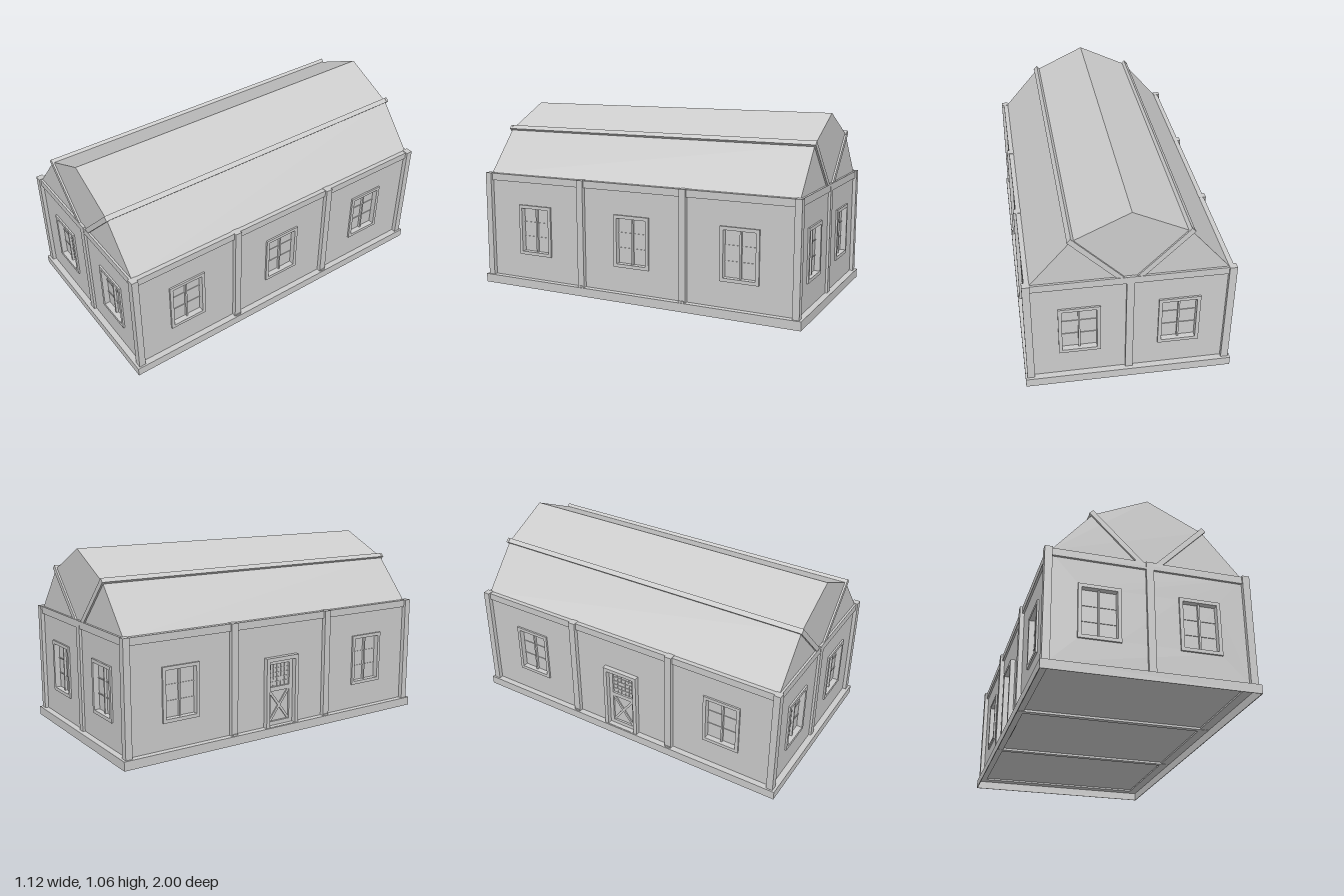
import * as THREE from 'three';

const material = new THREE.MeshStandardMaterial({ color: 0xcccccc, flatShading: true });

function add(parent, name, geometry, x = 0, y = 0, z = 0) {
  const mesh = new THREE.Mesh(geometry, material);
  mesh.name = name;
  mesh.position.set(x, y, z);
  parent.add(mesh);
  return mesh;
}

// box given by its extents
function box(parent, name, x0, x1, y0, y1, z0, z1) {
  return add(parent, name, new THREE.BoxGeometry(x1 - x0, y1 - y0, z1 - z0),
    (x0 + x1) / 2, (y0 + y1) / 2, (z0 + z1) / 2);
}

function rect(Type, x0, x1, y0, y1) {
  return new Type([[x0, y0], [x1, y0], [x1, y1], [x0, y1]].map(p => new THREE.Vector2(...p)));
}

// extruded plate with rectangular holes, spanning z0..z1
function plate(parent, name, outer, holes, z0, z1) {
  const shape = rect(THREE.Shape, ...outer);
  for (const h of holes) shape.holes.push(rect(THREE.Path, ...h));
  return add(parent, name,
    new THREE.ExtrudeGeometry(shape, { depth: z1 - z0, bevelEnabled: false }), 0, 0, z0);
}

// horizontal rectangular ring with outer half sizes hx, hz, spanning y0..y1
function ring(parent, name, hx, hz, width, y0, y1) {
  const ix = hx - width, iz = hz - width;
  const mesh = plate(parent, name, [-hx, hx, -hz, hz], [[-ix, ix, -iz, iz]], 0, y1 - y0);
  mesh.rotation.x = -Math.PI / 2;
  mesh.position.y = y0;
}

// straight bar between two points in the xy plane
function bar(parent, name, a, b, width, z0, z1) {
  const dx = b[0] - a[0], dy = b[1] - a[1];
  const mesh = add(parent, name, new THREE.BoxGeometry(Math.hypot(dx, dy), width, z1 - z0),
    (a[0] + b[0]) / 2, (a[1] + b[1]) / 2, (z0 + z1) / 2);
  mesh.rotation.z = Math.atan2(dy, dx);
}

// framed window with two casements of three panes
function makeWindow(u) {
  const g = new THREE.Group();
  g.name = 'window';
  g.position.x = u;
  plate(g, 'windowFrame', [-0.111, 0.111, 0.196, 0.495], [[-0.092, 0.092, 0.215, 0.476]], -0.025, 0.01);
  box(g, 'windowPanes', -0.1, 0.1, 0.205, 0.485, -0.03, -0.022);
  box(g, 'mullion', -0.005, 0.005, 0.215, 0.476, -0.024, -0.008);
  for (const y of [0.302, 0.389]) box(g, 'glazingBar', -0.092, 0.092, y - 0.003, y + 0.003, -0.024, -0.018);
  return g;
}

// door with a lattice light above a crossed lower panel
function makeDoor() {
  const g = new THREE.Group();
  g.name = 'door';
  plate(g, 'doorFrame', [-0.111, 0.111, 0.05, 0.45], [[-0.089, 0.089, 0.052, 0.428]], -0.025, 0.028);
  plate(g, 'doorLeaf', [-0.089, 0.089, 0.05, 0.428],
    [[-0.066, 0.066, 0.075, 0.25], [-0.066, 0.066, 0.275, 0.405]], -0.02, 0);
  box(g, 'doorPanel', -0.075, 0.075, 0.06, 0.42, -0.025, -0.012);
  bar(g, 'doorBrace', [-0.064, 0.078], [0.064, 0.247], 0.014, -0.015, -0.005);
  bar(g, 'doorBrace', [0.064, 0.078], [-0.064, 0.247], 0.014, -0.015, -0.005);
  for (let i = 1; i < 5; i++) {
    const x = -0.066 + i * 0.0264, y = 0.275 + i * 0.026;
    box(g, 'doorLatticeBar', x - 0.002, x + 0.002, 0.275, 0.405, -0.015, -0.008);
    box(g, 'doorLatticeBar', -0.066, 0.066, y - 0.002, y + 0.002, -0.015, -0.008);
  }
  return g;
}

// one wall facing +z locally, with its top beam, posts and openings
function makeWall(name, half, beamHalf, windows, posts, postOut, hasDoor) {
  const g = new THREE.Group();
  g.name = name;
  const holes = windows.map(u => [u - 0.1, u + 0.1, 0.205, 0.485]);
  if (hasDoor) holes.push([-0.1, 0.1, 0.055, 0.44]);
  plate(g, 'wallPanel', [-half, half, 0.048, 0.668], holes, -0.02, 0);
  box(g, 'topBeam', -beamHalf, beamHalf, 0.631, 0.672, -0.025, 0.012);
  for (const u of posts) box(g, 'wallPost', u - 0.02, u + 0.02, 0.05, 0.674, -0.02, postOut);
  for (const u of windows) g.add(makeWindow(u));
  if (hasDoor) g.add(makeDoor());
  return g;
}

export function createModel() {
  const model = new THREE.Group();
  model.name = 'house';

  // plinth: thin skirt with a ledge on top, open below
  ring(model, 'plinthSkirt', 0.56, 1, 0.004, 0, 0.05);
  ring(model, 'plinthLedge', 0.559, 0.999, 0.055, 0.047, 0.05);

  // raised floor with joists below
  box(model, 'floor', -0.52, 0.52, 0.057, 0.067, -0.96, 0.96);
  for (const z of [-0.323, 0.323]) box(model, 'floorJoist', -0.555, 0.555, 0.045, 0.06, z - 0.015, z + 0.015);

  // end walls and long walls
  for (const s of [1, -1]) {
    const end = makeWall(s > 0 ? 'frontWall' : 'backWall', 0.525, 0.515, [-0.264, 0.264], [0], 0.014, false);
    end.position.z = s * 0.965;
    end.rotation.y = s > 0 ? 0 : Math.PI;
    model.add(end);

    const isDoorSide = s < 0;
    const side = makeWall(isDoorSide ? 'doorSideWall' : 'windowSideWall', 0.96, 0.955,
      isDoorSide ? [-0.648, 0.648] : [-0.648, 0, 0.648], [-0.323, 0.323], 0.025, isDoorSide);
    side.position.x = s * 0.525;
    side.rotation.y = s * Math.PI / 2;
    model.add(side);

    // corner posts
    for (const t of [1, -1]) {
      add(model, 'cornerPost', new THREE.BoxGeometry(0.04, 0.625, 0.038), s * 0.53, 0.3625, t * 0.967);
    }
  }

  // gambrel roof with closed gables
  const roofShape = new THREE.Shape([[-0.515, 0.667], [0.515, 0.667], [0.3, 0.918], [0, 1.061], [-0.3, 0.918]]
    .map(p => new THREE.Vector2(...p)));
  add(model, 'roof', new THREE.ExtrudeGeometry(roofShape, { depth: 1.93, bevelEnabled: false }), 0, 0, -0.965);

  // purlins along the roof breaks and diagonal gable braces
  for (const s of [1, -1]) {
    const purlin = add(model, 'purlin', new THREE.BoxGeometry(0.028, 0.028, 1.948), s * 0.298, 0.92, 0);
    purlin.rotation.z = Math.PI / 4;
    for (const t of [1, -1]) {
      bar(model, 'gableBrace', [s * 0.043, 0.663], [s * 0.31, 0.93], 0.028, t * 0.968 - 0.007, t * 0.968 + 0.007);
    }
  }
  return model;
}
